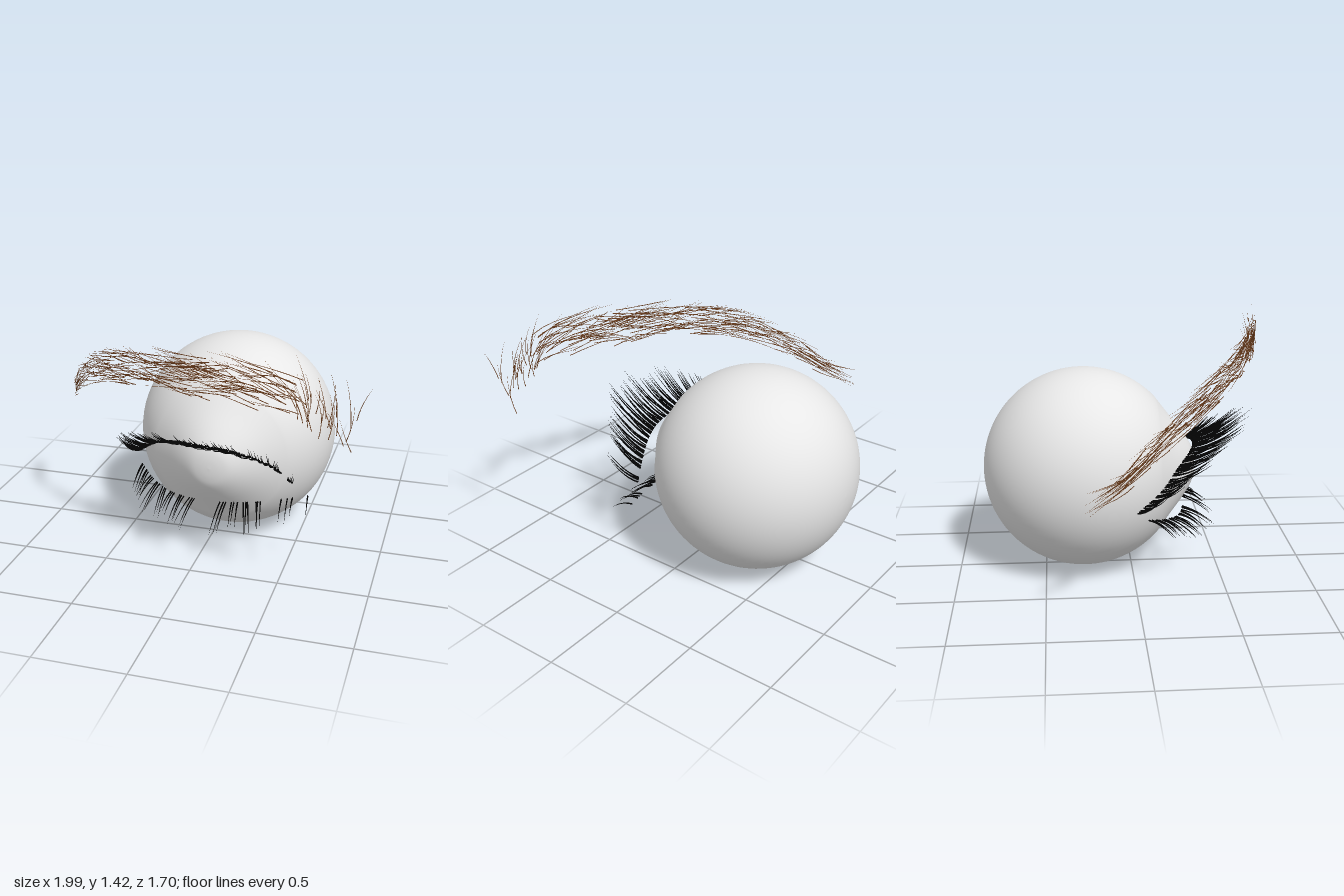
import * as THREE from 'three';
import { mergeGeometries } from 'three/addons/utils/BufferGeometryUtils.js';

const V = (x, y, z) => new THREE.Vector3(x, y, z);
const curveOf = (pts) => new THREE.CatmullRomCurve3(pts.map((p) => V(...p)));

// Small seeded random source
let seed = 7;
const rand = (a = 0, b = 1) => {
  seed = (seed * 16807) % 2147483647;
  return a + (b - a) * (seed / 2147483647);
};

// Three-sided strand through the points, tapering to its tip
function strand(pts, radius, ref) {
  const pos = [], idx = [], n = pts.length;
  pts.forEach((p, s) => {
    const t = pts[Math.min(s + 1, n - 1)].clone().sub(pts[Math.max(s - 1, 0)]).normalize();
    const side = t.clone().cross(ref).normalize();
    const up = t.clone().cross(side);
    const r = radius * (1.05 - (s / (n - 1)) ** 1.5);
    for (let i = 0; i < 3; i++) {
      const a = (i / 3) * Math.PI * 2;
      const q = p.clone().addScaledVector(side, r * Math.cos(a)).addScaledVector(up, r * Math.sin(a));
      pos.push(q.x, q.y, q.z);
      if (s < n - 1) {
        const a0 = s * 3 + i, b0 = s * 3 + ((i + 1) % 3);
        idx.push(a0, b0, a0 + 3, b0, b0 + 3, a0 + 3);
      }
    }
  });
  const g = new THREE.BufferGeometry();
  g.setAttribute('position', new THREE.Float32BufferAttribute(pos, 3));
  g.setIndex(idx);
  g.computeVertexNormals();
  return g;
}

// Strand bent from root to tip, pulled towards a control point
function bentStrand(root, mid, tip, radius, ref) {
  return strand(new THREE.QuadraticBezierCurve3(root, mid, tip).getPoints(6), radius, ref);
}

// Row of lashes between a root curve and a tip curve, gathered in clumps of three
function lashRow(roots, tips, count, radius, sag, from = 0, to = 1) {
  const list = [];
  let lean = 0, reach = 0;
  for (let i = 0; i < count; i++) {
    if (i % 3 === 0) {
      lean = rand(-0.02, 0.02);
      reach = rand(-0.05, 0.2);
    }
    const clump = i - ((i % 3) - 1) * 0.35;
    const t = from + (to - from) * THREE.MathUtils.clamp((clump + rand(-0.25, 0.25)) / (count - 1), 0, 1);
    const root = roots.getPoint(t);
    const tip = tips.getPoint(t).lerp(root, reach + rand(-0.03, 0.12));
    tip.x += lean + rand(-0.01, 0.01);
    tip.y += rand(-0.025, 0.015);
    const mid = root.clone().lerp(tip, 0.5);
    mid.y += sag;
    list.push(bentStrand(root, mid, tip, radius * rand(0.8, 1.1), V(1, 0, 0)));
  }
  return list;
}

export function createModel() {
  const group = new THREE.Group();
  const material = (name, color) => {
    const m = new THREE.MeshStandardMaterial({ color });
    m.name = name;
    return m;
  };
  const eyeGrey = material('eye grey', 0xe7e7e7);
  const lashBlack = material('lash black', 0x030303);
  const browBrown = material('brow brown', 0x6e3f1e);
  const add = (name, geometry, mat) => {
    const mesh = new THREE.Mesh(geometry, mat);
    mesh.name = name;
    group.add(mesh);
    return mesh;
  };

  // Eyeball: a sphere drawn out into a rounded cornea at the front
  const R = 0.578, join = Math.asin(0.4 / R), profile = [];
  for (let i = 0; i <= 40; i++) {
    const a = Math.PI + (join - Math.PI) * (i / 40);
    profile.push(new THREE.Vector2(Math.max(0, R * Math.sin(a)), R * Math.cos(a)));
  }
  const cornea = new THREE.SplineCurve([[0.4, 0.417], [0.3, 0.494], [0.2, 0.573], [0.12, 0.625], [0.06, 0.643], [0, 0.648]]
    .map((p) => new THREE.Vector2(...p)));
  profile.push(...cornea.getPoints(24).slice(1));
  const eye = add('eyeball', new THREE.LatheGeometry(profile, 72), eyeGrey);
  eye.rotation.x = Math.PI / 2;
  eye.position.set(0.077, 0.58, -0.272);

  // Upper lashes
  const upperRoots = curveOf([[-0.46, 0.47, 0.0], [-0.37, 0.56, 0.14], [-0.25, 0.65, 0.24], [-0.12, 0.7, 0.32],
    [0.02, 0.71, 0.36], [0.17, 0.7, 0.36], [0.3, 0.66, 0.33], [0.42, 0.59, 0.28], [0.51, 0.5, 0.24]]);
  const upperTips = curveOf([[-0.52, 0.6, 0.16], [-0.46, 0.71, 0.34], [-0.34, 0.8, 0.5], [-0.18, 0.87, 0.62],
    [0.0, 0.89, 0.7], [0.17, 0.89, 0.7], [0.3, 0.85, 0.64], [0.44, 0.76, 0.52], [0.54, 0.62, 0.42]]);
  add('upperLashes', mergeGeometries([
    ...lashRow(upperRoots, upperTips, 96, 0.0052, -0.045, 0, 0.93),
    ...lashRow(upperRoots, upperTips, 4, 0.005, -0.045, 0.97, 1),
  ]), lashBlack);

  // Lower lashes, with a gap below the cornea
  const lowerRoots = curveOf([[-0.43, 0.42, 0.06], [-0.32, 0.38, 0.17], [-0.18, 0.355, 0.26], [-0.02, 0.35, 0.3],
    [0.12, 0.355, 0.31], [0.28, 0.37, 0.3], [0.45, 0.39, 0.26], [0.6, 0.41, 0.21]]);
  const lowerTips = curveOf([[-0.46, 0.32, 0.2], [-0.36, 0.28, 0.32], [-0.2, 0.25, 0.42], [-0.04, 0.25, 0.49],
    [0.13, 0.25, 0.5], [0.31, 0.26, 0.48], [0.48, 0.31, 0.42], [0.62, 0.35, 0.36]]);
  add('lowerLashes', mergeGeometries([
    ...lashRow(lowerRoots, lowerTips, 24, 0.005, 0.03, 0, 0.42),
    ...lashRow(lowerRoots, lowerTips, 12, 0.005, 0.03, 0.57, 0.78),
    ...lashRow(lowerRoots, lowerTips, 4, 0.005, 0.03, 0.84, 1),
  ]), lashBlack);

  // Eyebrow: crossing hairs combed along a curved arch
  const arch = curveOf([[-0.99, 0.71, -0.29], [-0.9, 0.8, -0.11], [-0.8, 0.92, 0.04], [-0.6, 1.07, 0.27], [-0.4, 1.15, 0.42],
    [-0.2, 1.19, 0.53], [0, 1.22, 0.62], [0.2, 1.25, 0.69], [0.4, 1.26, 0.76], [0.58, 1.24, 0.81], [0.72, 1.2, 0.82]]);
  const front = V(0.3, 0.2, 1);
  const hairs = [];
  for (let i = 0; i < 210; i++) {
    const start = 0.08 + 0.91 * Math.pow(rand(), 0.8);
    const end = Math.max(0, start - rand(0.07, 0.19));
    const v0 = (rand(-1, 1) + rand(-1, 1)) * 0.6 - 0.2;
    const v1 = THREE.MathUtils.clamp(v0 + rand(-0.6, 1.3), -1.1, 1.3);
    const depth = rand(-0.012, 0.012), pts = [];
    for (let s = 0; s <= 5; s++) {
      const t = start + (end - start) * (s / 5);
      const p = arch.getPointAt(t);
      p.y += (v0 + (v1 - v0) * (s / 5) ** 1.3) * (0.055 + 0.07 * t);
      p.z += depth * (s / 5);
      pts.push(p);
    }
    hairs.push(strand(pts, 0.0023, front));
  }
  // Sparse upright hairs at the inner end
  for (let i = 0; i < 26; i++) {
    const k = rand(), x = 0.64 + 0.28 * k;
    const root = V(x + rand(-0.02, 0.02), 1.14 - 0.13 * k + rand(-0.06, 0.1), 0.82 + rand(-0.01, 0.02));
    const tip = V(root.x - rand(-0.04, 0.12), root.y + rand(0.12, 0.24), 0.81 + rand(-0.05, 0.03));
    const mid = root.clone().lerp(tip, 0.5).add(V(0.02, 0, 0.012));
    hairs.push(bentStrand(root, mid, tip, 0.0022, front));
  }
  hairs.push(bentStrand(V(0.9, 0.94, 0.75), V(0.88, 1.03, 0.83), V(0.85, 1.15, 0.85), 0.0022, front));
  hairs.push(bentStrand(V(0.93, 1.14, 0.83), V(0.95, 1.24, 0.85), V(1, 1.31, 0.84), 0.0022, front));
  add('eyebrow', mergeGeometries(hairs), browBrown);

  return group;
}
